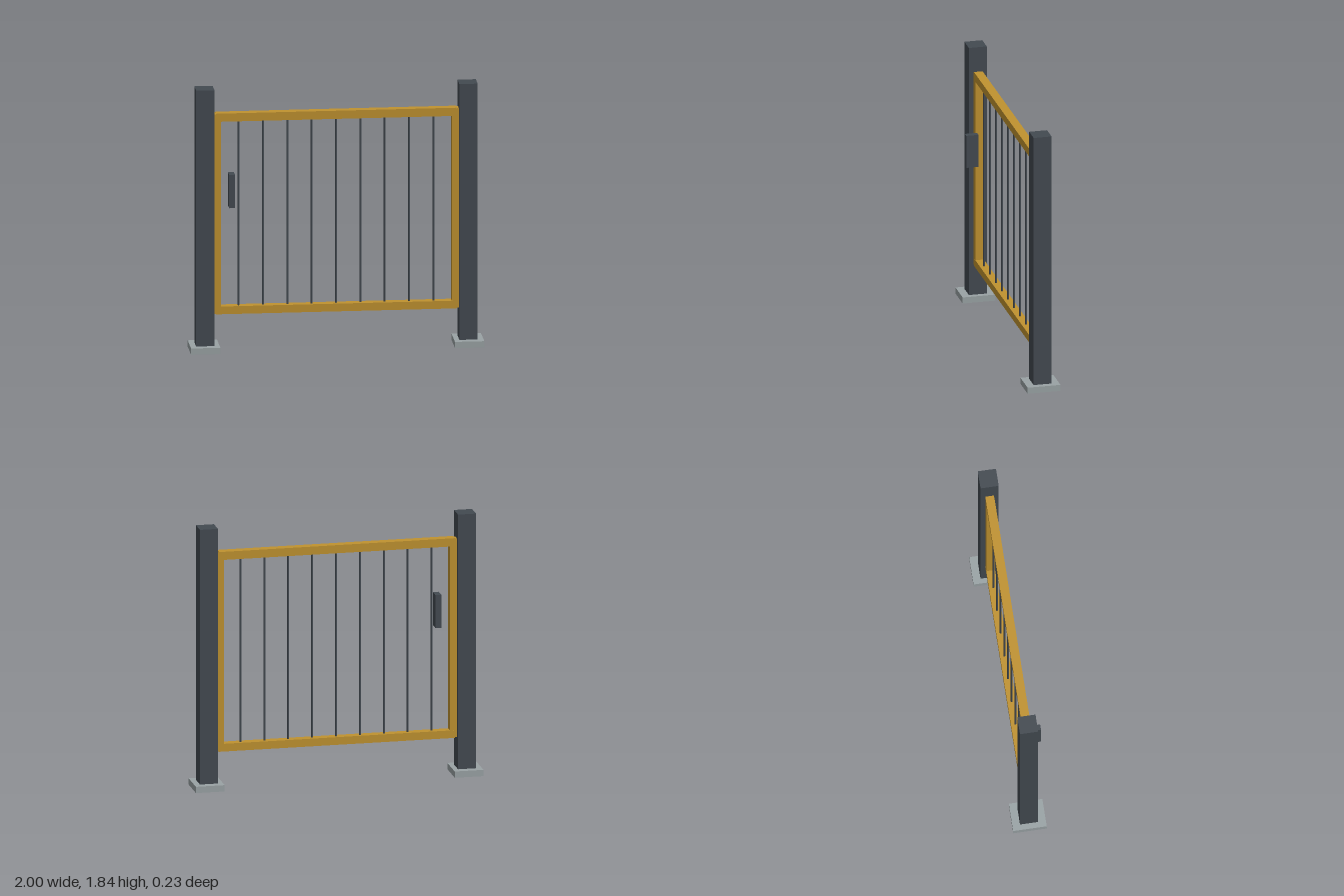
import * as THREE from 'three';

export function createModel() {
  const gate = new THREE.Group();
  gate.name = 'gate';

  const material = (name, color) => {
    const m = new THREE.MeshStandardMaterial({ color });
    m.name = name;
    return m;
  };
  const darkMetal = material('dark metal', 0x434a51);
  const goldFrame = material('golden frame', 0xc0922f);
  const greyPlate = material('grey plate', 0x9aa3a5);

  const add = (name, geometry, mat, x, y, z) => {
    const mesh = new THREE.Mesh(geometry, mat);
    mesh.name = name;
    mesh.position.set(x, y, z);
    gate.add(mesh);
  };
  // box given by its extents along each axis
  const box = (name, mat, [x0, x1], [y0, y1], [z0, z1]) =>
    add(name, new THREE.BoxGeometry(x1 - x0, y1 - y0, z1 - z0), mat,
      (x0 + x1) / 2, (y0 + y1) / 2, (z0 + z1) / 2);

  // posts, base plates and frame stiles, mirrored left and right
  for (const [side, s] of [['left', 1], ['right', -1]]) {
    const span = (a, b) => (s > 0 ? [a, b] : [-b, -a]);
    box(side + 'Post', darkMetal, span(0.835, 0.96), [0, 1.835], [-0.0625, 0.0625]);
    box(side + 'BasePlate', greyPlate, span(0.8, 1), [0.001, 0.045], [-0.115, 0.115]);
    box(side + 'Stile', goldFrame, span(0.787, 0.84), [0.262, 1.658], [-0.029, 0.029]);
  }

  // horizontal frame rails
  box('bottomRail', goldFrame, [-0.82, 0.82], [0.258, 0.312], [-0.03, 0.03]);
  box('topRail', goldFrame, [-0.82, 0.82], [1.605, 1.662], [-0.03, 0.03]);

  // thin round infill bars
  const barGeometry = new THREE.CylinderGeometry(0.007, 0.007, 1.32, 10);
  for (let i = -4; i <= 4; i++) {
    add('bar' + (i + 5), barGeometry, darkMetal, i * 0.1662, 0.96, 0);
  }

  // upright handle block in front of the latch side
  box('handle', darkMetal, [-0.74, -0.7], [1.02, 1.252], [0.03, 0.115]);

  return gate;
}
